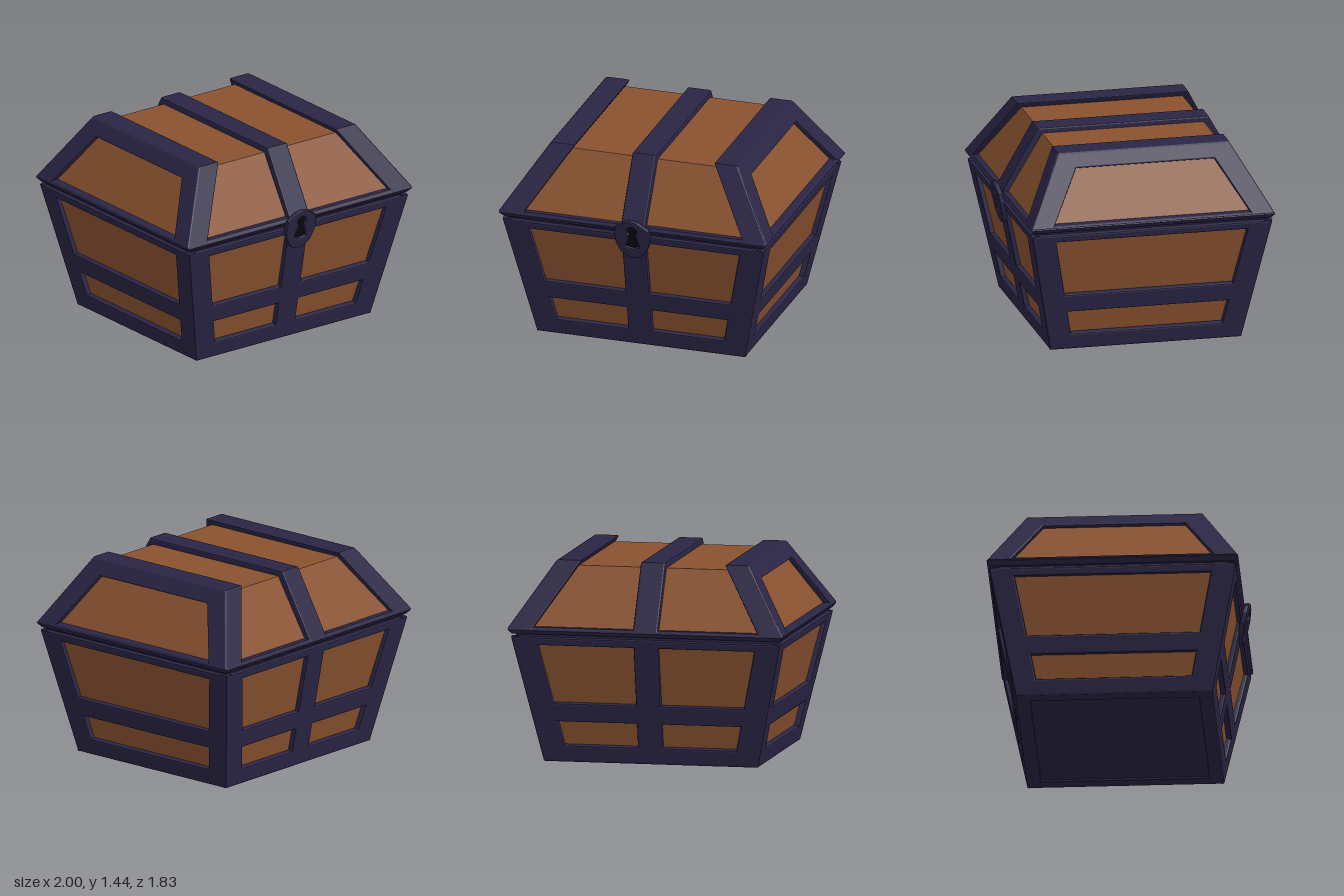
import * as THREE from 'three';

const wood = new THREE.MeshStandardMaterial({ color: 0x8a5230 });
const iron = new THREE.MeshStandardMaterial({ color: 0x2a2545 });
const black = new THREE.MeshStandardMaterial({ color: 0x0a0a0c });
const BEVEL = 0.012;

function add(parent, name, geometry, material) {
  const mesh = new THREE.Mesh(geometry, material);
  mesh.name = name;
  parent.add(mesh);
  return mesh;
}

// Box whose bottom and top have different half widths (x) and half depths (z)
function frustum(xb, zb, xt, zt, y0, y1) {
  const g = new THREE.BoxGeometry(2, 2, 2);
  const p = g.attributes.position;
  for (let i = 0; i < p.count; i++) {
    const top = p.getY(i) > 0;
    p.setXYZ(i, p.getX(i) * (top ? xt : xb), top ? y1 : y0, p.getZ(i) * (top ? zt : zb));
  }
  g.computeVertexNormals();
  return g;
}

const points = (list) => list.map(([x, y]) => new THREE.Vector2(x, y));

// Bevelled plate with windows; its front lies at z = 0
function plate(outline, holes, thickness) {
  const shape = new THREE.Shape(points(outline));
  holes.forEach((h) => shape.holes.push(new THREE.Path(points(h))));
  const g = new THREE.ExtrudeGeometry(shape, {
    depth: thickness - 2 * BEVEL, bevelThickness: BEVEL, bevelSize: BEVEL,
    bevelOffset: -BEVEL, bevelSegments: 2, curveSegments: 12,
  });
  return g.translate(0, 0, BEVEL - thickness);
}

const trapezoid = (wb, wt, y0, y1) => [[-wb, y0], [wb, y0], [wt, y1], [-wt, y1]];

// Body measurements
const H = 0.91, XB = 0.78, XT = 0.98, ZB = 0.7, ZT = 0.88;

// Sloping wall frame with two rows of windows, optionally split by a centre strap
function wallFrame(wb, wt, db, dt, border, split) {
  const k = Math.hypot(H, dt - db) / H;
  const edge = (y) => wb + (wt - wb) * y / H - border;
  const holes = [];
  for (const [y0, y1] of [[0.12, 0.295], [0.43, 0.855]]) {
    if (split) {
      for (const s of [-1, 1]) {
        holes.push([[s * 0.09, y0 * k], [s * edge(y0), y0 * k], [s * edge(y1), y1 * k], [s * 0.09, y1 * k]]);
      }
    } else holes.push(trapezoid(edge(y0), edge(y1), y0 * k, y1 * k));
  }
  return plate(trapezoid(wb, wt, 0, H * k), holes, 0.06)
    .rotateX(Math.atan2(dt - db, H)).translate(0, 0, db);
}

function buildBody() {
  const body = new THREE.Group();
  body.name = 'body';
  const t = 0.035;
  add(body, 'bodyPlanks', frustum(XB - t, ZB - t, XT - t, ZT - t, 0.03, 0.9), wood);
  ['frontFrame', 'leftFrame', 'backFrame', 'rightFrame'].forEach((name, i) => {
    const g = i % 2 ? wallFrame(ZB, ZT, XB, XT, 0.17, false) : wallFrame(XB, XT, ZB, ZT, 0.18, true);
    add(body, name, g, iron).rotation.y = i * Math.PI / 2;
  });
  // Underside: border and slightly recessed plate
  const hole = [[-XB + 0.1, -ZB + 0.1], [XB - 0.1, -ZB + 0.1], [XB - 0.1, ZB - 0.1], [-XB + 0.1, ZB - 0.1]];
  const rect = [[-XB, -ZB], [XB, -ZB], [XB, ZB], [-XB, ZB]];
  add(body, 'bottomBorder', plate(rect, [hole], 0.04).rotateX(Math.PI / 2), iron);
  add(body, 'bottomPlate', frustum(XB - 0.05, ZB - 0.05, XB - 0.05, ZB - 0.05, 0.018, 0.04), iron);
  add(body, 'seam', frustum(0.95, 0.85, 0.95, 0.85, 0.87, 0.95), iron);
  return body;
}

function buildLid() {
  const lid = new THREE.Group();
  lid.name = 'lid';
  add(lid, 'lidPlanks', frustum(0.96, 0.855, 0.686, 0.59, 0.96, 1.4), wood);
  // Rim
  add(lid, 'rimLower', frustum(0.975, 0.87, 1.0, 0.895, 0.935, 0.965), iron);
  add(lid, 'rimUpper', frustum(1.0, 0.895, 0.985, 0.88, 0.965, 0.988), iron);

  // Centre rib and the two leaning end frames
  const profile = trapezoid(0.893, 0.625, 0.97, 1.44);
  add(lid, 'centreRib', plate(profile, [], 0.18).translate(0, 0, 0.09).rotateY(Math.PI / 2), iron);
  const end = plate(profile, [trapezoid(0.715, 0.505, 0.99, 1.335)], 0.18)
    .rotateY(Math.PI / 2).translate(1, 0, 0);
  const p = end.attributes.position;
  for (let i = 0; i < p.count; i++) p.setX(i, p.getX(i) - (p.getY(i) - 0.98) * 0.652);
  end.computeVertexNormals();
  add(lid, 'leftEndFrame', end, iron);
  add(lid, 'rightEndFrame', end, iron).rotation.y = Math.PI;
  return lid;
}

// Shield-shaped lock plate with a keyhole
function buildLock() {
  const lock = new THREE.Group();
  lock.name = 'lock';
  const half = [[0, -0.155], [0.05, -0.142], [0.095, -0.105], [0.125, -0.04], [0.135, 0.03],
    [0.125, 0.09], [0.085, 0.118], [0.045, 0.145], [0, 0.155]];
  const outline = half.concat(half.slice(1, -1).reverse().map(([x, y]) => [-x, y]));
  const key = [[-0.052, -0.06], [0, -0.072], [0.052, -0.06]];
  for (let i = 0; i <= 12; i++) {
    const a = -0.95 + i * (Math.PI + 1.9) / 12;
    key.push([0.036 * Math.cos(a), 0.07 + 0.036 * Math.sin(a)]);
  }
  add(lock, 'lockPlate', plate(outline, [key], 0.04), iron);
  add(lock, 'keyhole', new THREE.BoxGeometry(0.14, 0.2, 0.01).translate(0, 0.02, -0.024), black);
  lock.position.set(0, 0.885, 0.906);
  lock.rotation.x = 0.2;
  return lock;
}

export function createModel() {
  const model = new THREE.Group();
  model.name = 'treasureChest';
  const chest = new THREE.Group();
  chest.name = 'chest';
  chest.add(buildBody(), buildLid(), buildLock());
  chest.position.z = -0.02;
  model.add(chest);
  return model;
}
